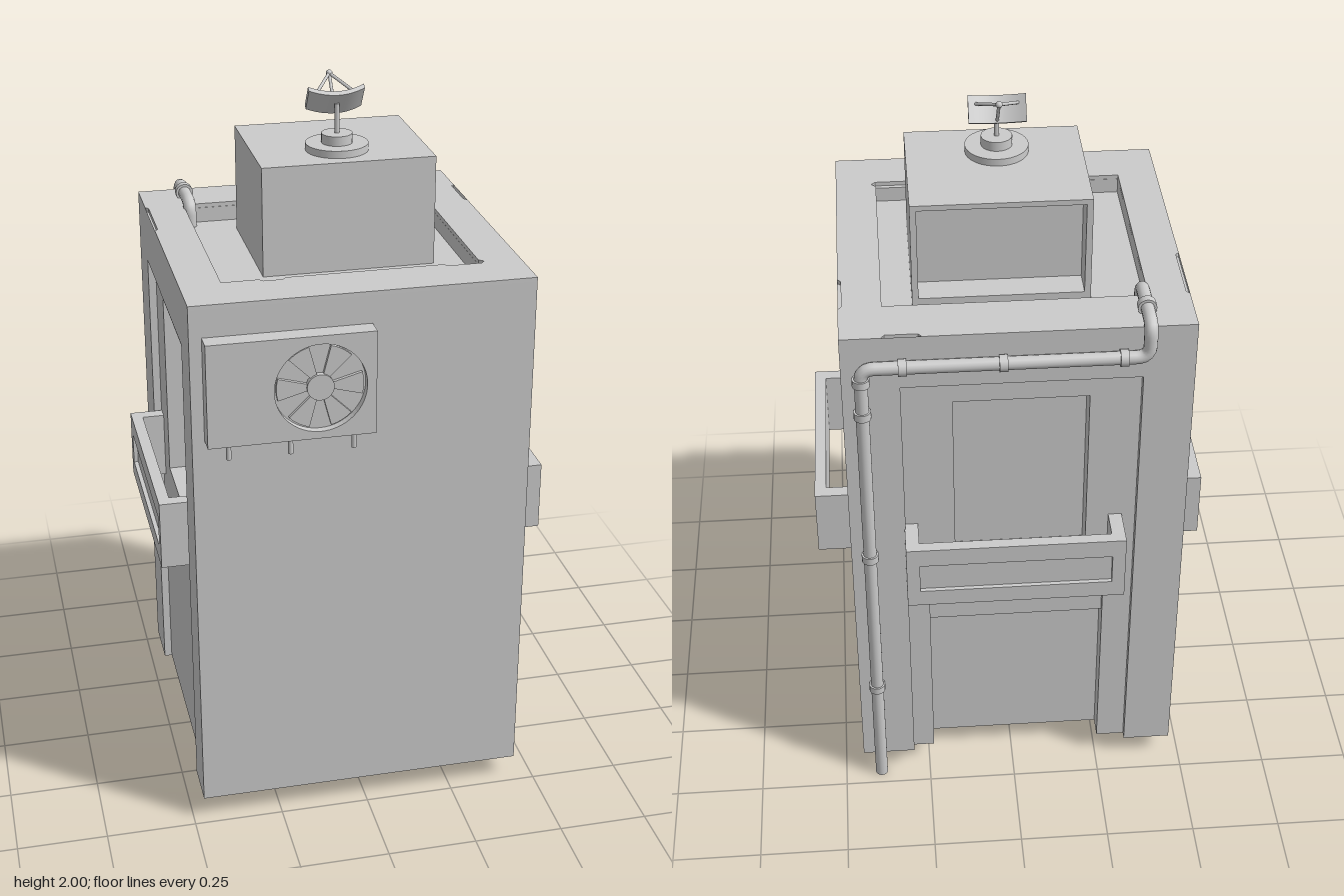
import * as THREE from 'three';

const mat = new THREE.MeshStandardMaterial({ color: 0xcccccc });
const shellMat = new THREE.MeshStandardMaterial({ color: 0xcccccc, side: THREE.DoubleSide });

const BASE = 0.065, TOP = 1.563, HALF = 0.458, CX = -0.012, CZ = 0.018;

function add(parent, name, geo, x = 0, y = 0, z = 0, material = mat) {
  const m = new THREE.Mesh(geo, material);
  m.name = name;
  m.position.set(x, y, z);
  parent.add(m);
  return m;
}
const box = (p, name, w, h, d, x, y, z) => add(p, name, new THREE.BoxGeometry(w, h, d), x, y, z);
const cyl = (p, name, r, h, x, y, z, n = 24) => add(p, name, new THREE.CylinderGeometry(r, r, h, n), x, y, z);

const poly = (pts) => pts.map(([x, y]) => new THREE.Vector2(x, y));
const rect = (x0, y0, x1, y1) => [[x0, y0], [x1, y0], [x1, y1], [x0, y1]];
function shape(pts, ...holes) {
  const s = new THREE.Shape(poly(pts));
  s.holes = holes.map((h) => new THREE.Path(poly(h)));
  return s;
}
// flat sheet facing +z at depth z
const sheet = (p, name, s, z) => add(p, name, new THREE.ShapeGeometry(s), 0, 0, z, shellMat);

// reveal: strip along a path between two depths
function reveal(p, name, pts, z0, z1) {
  const v = [];
  for (let i = 0; i < pts.length - 1; i++) {
    const [a, b] = pts[i], [c, d] = pts[i + 1];
    v.push(a, b, z0, a, b, z1, c, d, z1, a, b, z0, c, d, z1, c, d, z0);
  }
  const g = new THREE.BufferGeometry();
  g.setAttribute('position', new THREE.Float32BufferAttribute(v, 3));
  g.computeVertexNormals();
  add(p, name, g, 0, 0, 0, shellMat);
}
const closed = (pts) => [...pts, pts[0]];
// rectangle open at the bottom, as a path up, across and down
const arch = (x0, x1, top) => [[x0, BASE], [x0, top], [x1, top], [x1, BASE]];
// outer wall outline with an arch cut from its bottom edge
const cutWall = (x0, x1, top, cut) => [[x0, BASE], ...cut, [x1, BASE], [x1, top], [x0, top]];

// one recessed wall with window, balcony and optional shutter door
function facade(root, name, rotY, off, balconyOff, reach, door) {
  const g = new THREE.Group();
  g.name = name;
  g.position.set(CX, 0, CZ);
  g.rotation.y = rotY;
  root.add(g);
  const z0 = HALF, z1 = z0 - 0.022, z2 = z1 - 0.068;
  const L = off - 0.315, R = off + 0.315;
  const panel = arch(L, R, 1.406);
  sheet(g, 'wall', shape(cutWall(-HALF, HALF, TOP, panel)), z0);
  reveal(g, 'panelReveal', panel, z0, z1);
  const win = rect(off - 0.18, 0.8, off + 0.18, 1.337);
  const opening = arch(off - 0.255, off + 0.235, 0.69);
  sheet(g, 'panel', shape(door ? cutWall(L, R, 1.406, opening) : rect(L, BASE, R, 1.406), win), z1);
  reveal(g, 'windowReveal', closed(win), z1, z2);
  sheet(g, 'windowPane', shape(win), z2);
  if (door) {
    const zs = z1 - 0.02, zd = z1 - 0.06, a = off - 0.255, b = off + 0.235;
    reveal(g, 'doorReveal', opening, z1, zd);
    sheet(g, 'shutter', shape(rect(a, 0.56, b, 0.69)), zs);
    reveal(g, 'shutterEdge', [[a, 0.56], [b, 0.56]], zs, zd);
    sheet(g, 'door', shape(rect(a, BASE, b, 0.56)), zd);
  }
  // balcony: front rail with an inset panel and two end walls
  const c = balconyOff, y0 = 0.735, y1 = 0.93, h = y1 - y0, ym = (y0 + y1) / 2;
  const front = shape(rect(c - 0.298, y0, c + 0.298, y1), rect(c - 0.262, 0.785, c + 0.262, 0.875));
  add(g, 'balconyFrame', new THREE.ExtrudeGeometry(front, { depth: 0.012, bevelEnabled: false }), 0, 0, reach - 0.012);
  box(g, 'balconyRail', 0.596, h, 0.02, c, ym, reach - 0.022);
  const d = reach - 0.032 - z1;
  for (const s of [-1, 1]) box(g, 'balconyEnd', 0.037, h, d, c + s * 0.2795, ym, z1 + d / 2);
}

// pipe through points with rounded corners
function pipe(p, name, pts, r, bend) {
  const v = pts.map((q) => new THREE.Vector3(...q));
  const path = new THREE.CurvePath();
  let from = v[0];
  for (let i = 1; i < v.length - 1; i++) {
    const a = v[i].clone().add(v[i - 1].clone().sub(v[i]).setLength(bend));
    const b = v[i].clone().add(v[i + 1].clone().sub(v[i]).setLength(bend));
    path.add(new THREE.LineCurve3(from, a));
    path.add(new THREE.QuadraticBezierCurve3(a, v[i], b));
    from = b;
  }
  path.add(new THREE.LineCurve3(from, v[v.length - 1]));
  add(p, name, new THREE.TubeGeometry(path, 220, r, 14), 0, 0, 0, shellMat);
}

function rod(p, name, a, b, r) {
  const A = new THREE.Vector3(...a), B = new THREE.Vector3(...b), dir = B.clone().sub(A);
  const m = cyl(p, name, r, dir.length(), 0, 0, 0, 8);
  m.position.copy(A).add(B).multiplyScalar(0.5);
  m.quaternion.setFromUnitVectors(new THREE.Vector3(0, 1, 0), dir.normalize());
}

export function createModel() {
  const root = new THREE.Group();
  root.name = 'rooftopBooth';

  // walls (open underneath)
  const frontWall = new THREE.Group();
  frontWall.name = 'frontWall';
  frontWall.position.set(CX, 0, CZ);
  root.add(frontWall);
  sheet(frontWall, 'wall', shape(rect(-HALF, BASE, HALF, TOP - 0.012)), HALF);
  facade(root, 'leftSide', Math.PI / 2, -0.011, 0, 0.554, false);
  facade(root, 'rightSide', -Math.PI / 2, 0.011, 0, 0.53, false);
  facade(root, 'backSide', Math.PI, 0.008, -0.012, 0.551, true);

  // roof parapet with chipped edges, drawn in plan (x, z)
  const roof = new THREE.Group();
  roof.name = 'roof';
  roof.rotation.x = Math.PI / 2;
  roof.position.y = TOP;
  root.add(roof);
  const outer = [[-0.47, -0.44], [0.235, -0.44], [0.245, -0.427], [0.33, -0.427], [0.34, -0.44], [0.446, -0.44],
    [0.446, -0.3], [0.437, -0.29], [0.437, -0.17], [0.446, -0.16], [0.446, 0.476], [-0.47, 0.476],
    [-0.47, -0.095], [-0.461, -0.105], [-0.461, -0.285], [-0.47, -0.295]];
  const inner = [[-0.36, -0.295], [0.333, -0.295], [0.333, 0.32], [0.346, 0.331], [0.335, 0.343], [0.245, 0.343],
    [0.235, 0.331], [-0.19, 0.331], [-0.2, 0.343], [-0.25, 0.343], [-0.26, 0.331], [-0.36, 0.331]];
  const well = rect(-0.36, -0.295, 0.333, 0.331);
  add(roof, 'parapetTop', new THREE.ExtrudeGeometry(shape(outer, inner), { depth: 0.012, bevelEnabled: false }));
  sheet(roof, 'parapetLedge', shape(rect(-0.47, -0.44, 0.446, 0.476), well), 0.0125);
  reveal(roof, 'parapetInside', closed(well), 0.0125, 0.055);
  sheet(roof, 'roofFloor', shape(well), 0.055);

  // roof cabin with a niche in its back
  const cabin = new THREE.Group();
  cabin.name = 'roofCabin';
  root.add(cabin);
  const ring = shape(rect(-0.22, 1.508, 0.252, 1.81), rect(-0.203, 1.53, 0.235, 1.795));
  add(cabin, 'cabinFrame', new THREE.ExtrudeGeometry(ring, { depth: 0.08, bevelEnabled: false }), 0, 0, -0.217);
  box(cabin, 'cabinBody', 0.472, 0.302, 0.314, 0.016, 1.659, 0.02);

  // dish antenna
  const ax = 0.009, az = 0.057;
  cyl(root, 'antennaBase', 0.085, 0.02, ax, 1.82, az, 32);
  cyl(root, 'antennaCollar', 0.042, 0.026, ax, 1.843, az);
  cyl(root, 'antennaPole', 0.007, 0.085, ax, 1.893, az, 10);
  const dish = new THREE.Group();
  dish.name = 'dish';
  dish.position.set(ax, 1.936, 0.048);
  dish.rotation.x = 0.6;
  root.add(dish);
  const plate = new THREE.BoxGeometry(0.152, 0.073, 0.014, 12, 1, 1);
  const pos = plate.attributes.position;
  for (let i = 0; i < pos.count; i++) pos.setZ(i, pos.getZ(i) - 3.5 * pos.getX(i) ** 2);
  plate.computeVertexNormals();
  add(dish, 'dishPlate', plate);
  const tip = [0, 0, -0.102];
  for (const [x, y, z] of [[-0.058, 0.015, -0.012], [0.058, 0.015, -0.012], [0, -0.03, 0]]) rod(dish, 'dishStrut', [x, y, z], tip, 0.0045);
  add(dish, 'dishFeed', new THREE.SphereGeometry(0.009, 12, 8), ...tip);

  // air conditioner
  const ac = new THREE.Group();
  ac.name = 'airConditioner';
  ac.position.set(-0.14, 1.33, 0.476);
  root.add(ac);
  const face = shape(rect(-0.297, -0.142, 0.147, 0.145));
  face.holes.push(new THREE.Path().absarc(0, 0, 0.122, 0, Math.PI * 2, true));
  add(ac, 'casing', new THREE.ExtrudeGeometry(face, { depth: 0.052, bevelEnabled: false, curveSegments: 32 }));
  add(ac, 'fanBack', new THREE.CircleGeometry(0.123, 40), 0, 0, 0.03);
  const hub = cyl(ac, 'fanHub', 0.036, 0.016, 0, 0, 0.04);
  hub.rotation.x = Math.PI / 2;
  for (let i = 0; i < 6; i++) {
    const a = (i * Math.PI) / 3, s = new THREE.Shape();
    s.absarc(0, 0, 0.115, a - 0.27, a + 0.27, false);
    s.absarc(0, 0, 0.03, a + 0.27, a - 0.27, true);
    add(ac, 'fanBlade', new THREE.ExtrudeGeometry(s, { depth: 0.01, bevelEnabled: false, curveSegments: 6 }), 0, 0, 0.031);
  }
  for (const x of [-0.24, -0.077, 0.092]) cyl(ac, 'foot', 0.007, 0.05, x, -0.162, 0.03, 10);

  // drain pipe: roof, down over the parapet, along the back and down the corner
  const px = 0.395, pz = -0.455, hx = -0.346, hy = 1.48, ry = 1.578, r = 0.018;
  pipe(root, 'drainPipe', [[px, 0, pz], [px, hy, pz], [hx, hy, pz], [hx, ry, pz], [hx, ry, -0.262], [hx, 1.51, -0.262]], r, 0.035);
  for (const y of [0.355, 0.85, 1.337, 1.44]) cyl(root, 'pipeCollar', 0.023, 0.022, px, y, pz, 16);
  for (const x of [-0.28, 0.03, 0.288]) cyl(root, 'pipeCollar', 0.023, 0.022, x, hy, pz, 16).rotation.z = Math.PI / 2;
  cyl(root, 'pipeCollar', 0.025, 0.022, hx, ry, -0.368, 16).rotation.x = Math.PI / 2;

  return root;
}
